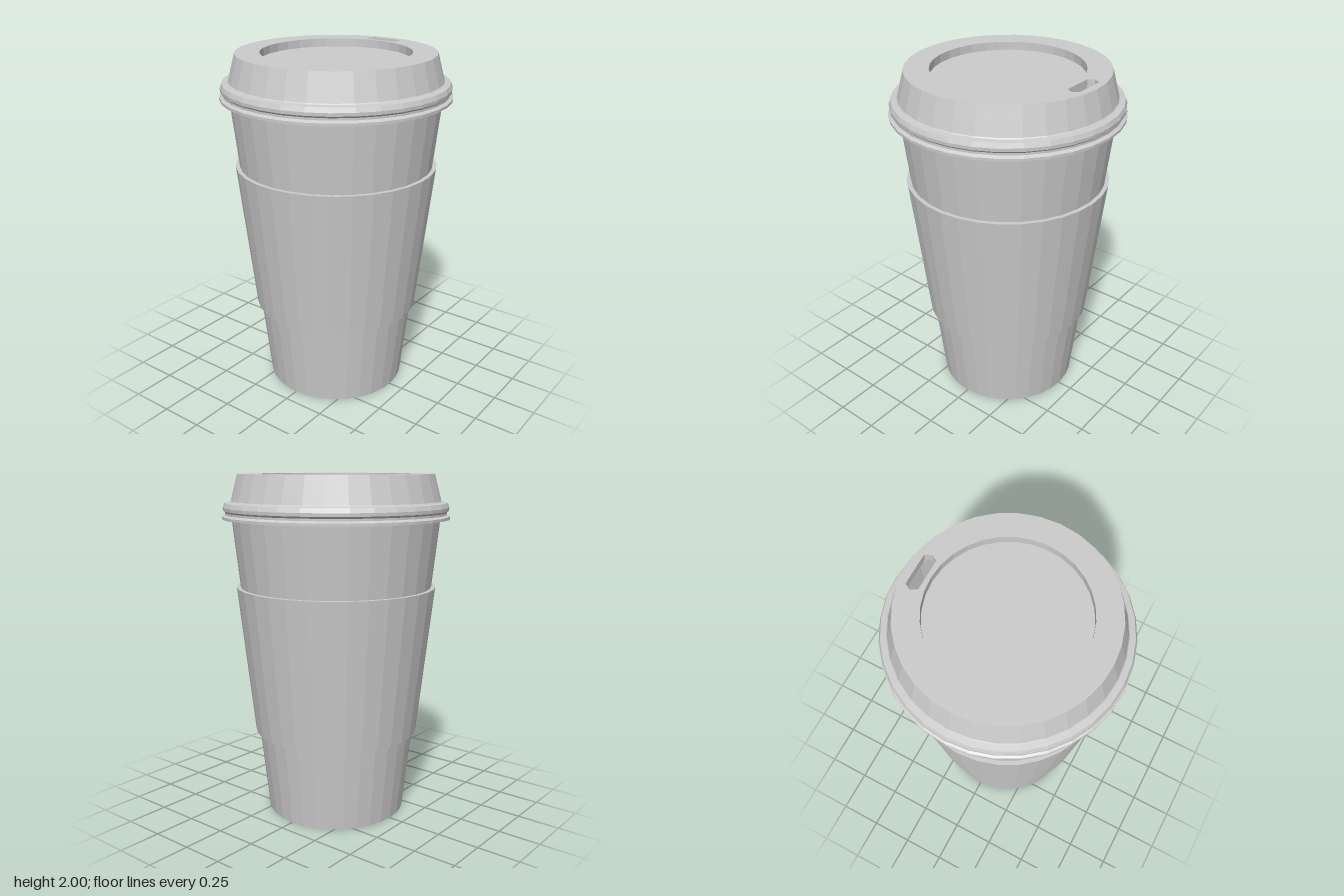
import * as THREE from 'three';

const SIDES = 32;

export function createModel() {
  const cupToGo = new THREE.Group();
  cupToGo.name = 'takeawayCup';
  const material = new THREE.MeshStandardMaterial({ color: 0xcccccc, flatShading: true });

  const add = (name, geometry, y = 0) => {
    const mesh = new THREE.Mesh(geometry, material);
    mesh.name = name;
    mesh.position.y = y;
    cupToGo.add(mesh);
  };
  // Profiles run up the outside and down the inside
  const lathe = (profile) =>
    new THREE.LatheGeometry(profile.map(([r, y]) => new THREE.Vector2(r, y)), SIDES);
  const circle = (r) => Array.from({ length: SIDES }, (_, i) => {
    const a = (i / SIDES) * Math.PI * 2;
    return new THREE.Vector2(r * Math.cos(a), r * Math.sin(a));
  });

  // Tapered cup wall, open below the raised base
  add('cupWall', lathe([
    [0.41, 0], [0.598, 1.75], [0.603, 1.8], [0.588, 1.8], [0.395, 0], [0.41, 0],
  ]));
  add('cupBase', new THREE.CylinderGeometry(0.412, 0.411, 0.02, SIDES), 0.15);

  // Sleeve wrapped round the middle
  add('sleeve', lathe([
    [0.46, 0.49], [0.485, 0.49], [0.58, 1.36], [0.553, 1.36], [0.46, 0.49],
  ]));

  // Lid side with its beaded snap-on rim
  add('lidSide', lathe([
    [0.63, 1.75], [0.652, 1.75], [0.652, 1.765], [0.634, 1.775], [0.634, 1.787],
    [0.645, 1.797], [0.646, 1.815], [0.636, 1.84], [0.605, 1.845], [0.6, 1.85],
    [0.56, 2], [0.548, 1.99], [0.585, 1.845], [0.615, 1.82], [0.63, 1.75],
  ]));

  // Raised lid ring, pierced by the central well and the drinking slot
  const ring = new THREE.Shape(circle(0.56));
  ring.holes.push(new THREE.Path(circle(0.422).reverse()));
  const slot = [
    [0.445, -0.09], [0.48, -0.108], [0.515, -0.09],
    [0.515, 0.09], [0.48, 0.108], [0.445, 0.09],
  ].map(([x, y]) => new THREE.Vector2(x, y));
  ring.holes.push(new THREE.Path(slot.reverse()));
  const ringGeometry = new THREE.ExtrudeGeometry(ring, { depth: 0.05, bevelEnabled: false });
  ringGeometry.rotateX(-Math.PI / 2);
  add('lidTop', ringGeometry, 1.95);

  // Sunken floor of the lid
  add('lidWellFloor', new THREE.CylinderGeometry(0.422, 0.422, 0.01, SIDES), 1.948);

  return cupToGo;
}
